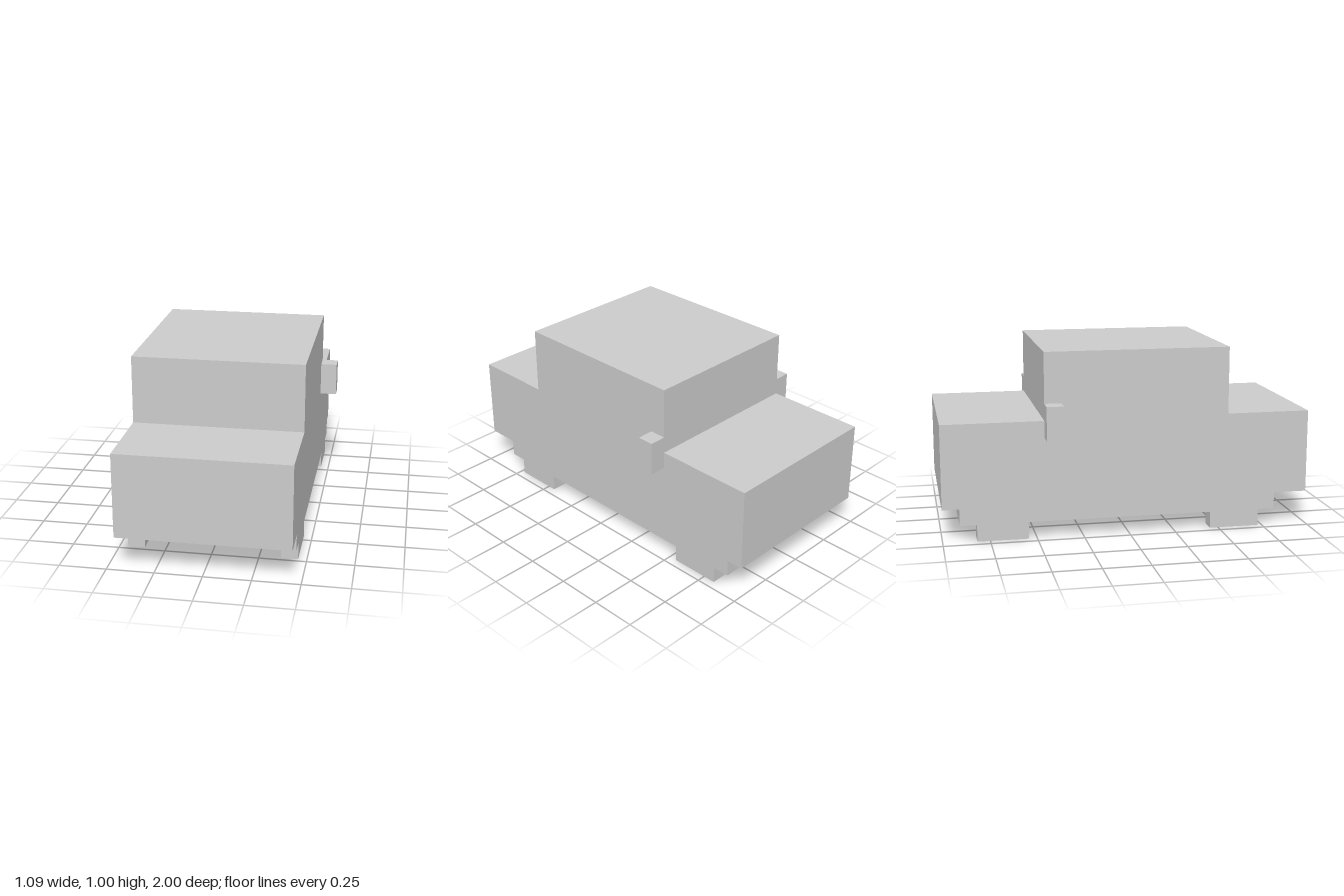
import * as THREE from 'three';

// Everything sits on a grid of 11 units per half length
const U = 1 / 11;

export function createModel() {
  const model = new THREE.Group();
  const material = new THREE.MeshStandardMaterial({ color: 0xcccccc, flatShading: true });

  // Box from its min and max corners in grid units
  const addBox = (name, [x0, y0, z0], [x1, y1, z1]) => {
    const geometry = new THREE.BoxGeometry((x1 - x0) * U, (y1 - y0) * U, (z1 - z0) * U);
    const mesh = new THREE.Mesh(geometry, material);
    mesh.position.set((x0 + x1) / 2 * U, (y0 + y1) / 2 * U, (z0 + z1) / 2 * U);
    mesh.name = name;
    model.add(mesh);
  };

  // Body: side profile (z, y) of underside, hood, cabin and trunk, extruded across x
  const profile = [
    [-10, 1], [9, 1], [9, 2], [11, 2], [11, 7], [6, 7], [6, 11],
    [-5, 11], [-5, 7], [-11, 7], [-11, 2], [-10, 2],
  ].map(([z, y]) => new THREE.Vector2(z * U, y * U));
  const bodyGeometry = new THREE.ExtrudeGeometry(new THREE.Shape(profile), {
    depth: 10 * U, bevelEnabled: false,
  });
  bodyGeometry.rotateY(-Math.PI / 2).translate(5 * U, 0, 0);
  const body = new THREE.Mesh(bodyGeometry, material);
  body.name = 'body';
  model.add(body);

  // Wheels and side mirrors on both sides
  for (const [side, inner, outer] of [['left', 4, 5], ['right', -5, -4]]) {
    addBox(side + 'FrontWheel', [inner, 0, 5], [outer, 1, 8]);
    addBox(side + 'RearWheel', [inner, 0, -9], [outer, 1, -6]);
    const shift = side === 'left' ? 1 : -1;
    addBox(side + 'Mirror', [inner + shift, 6, -5], [outer + shift, 8, -4]);
  }
  return model;
}
